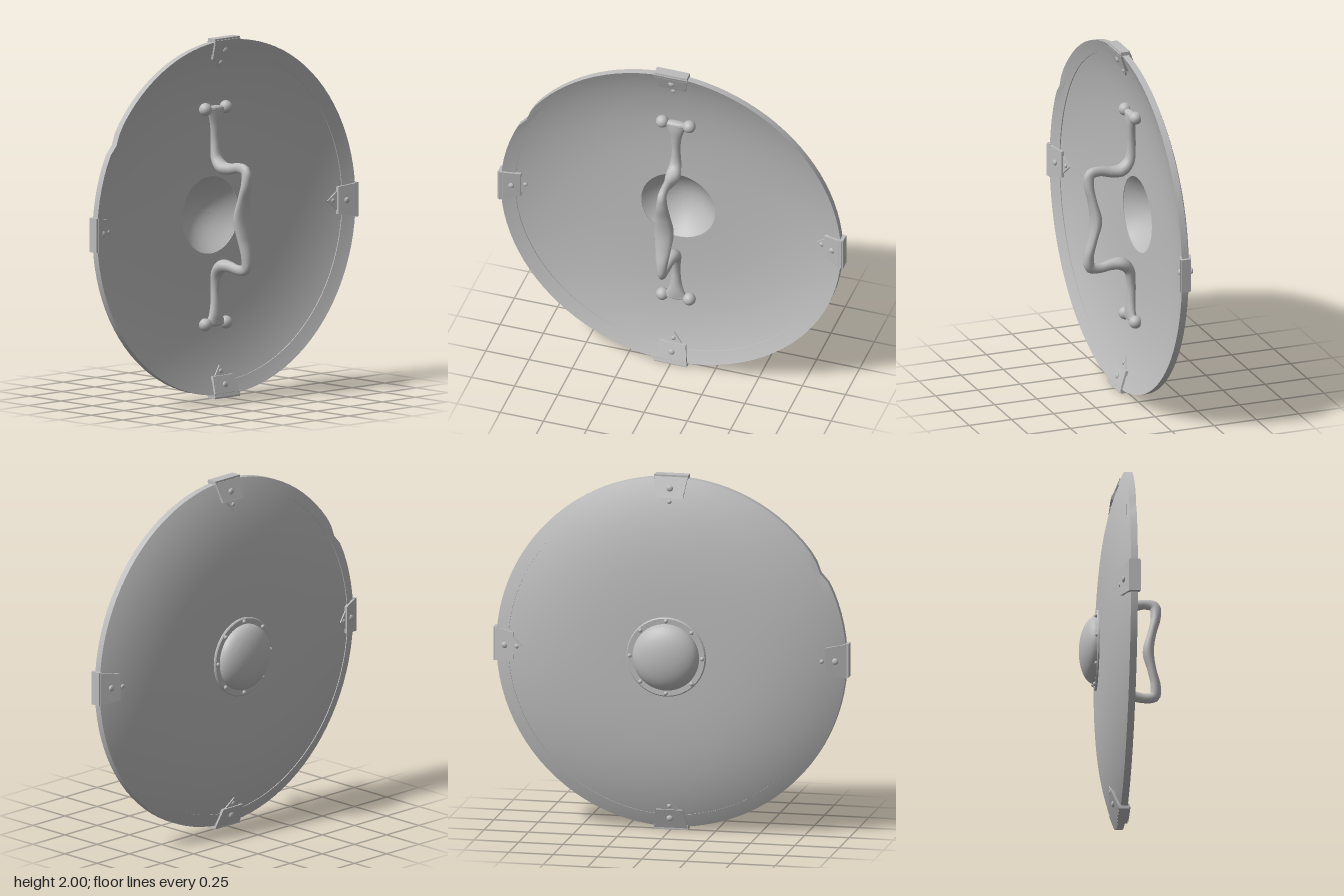
import * as THREE from 'three';
import { mergeVertices, toCreasedNormals } from 'three/addons/utils/BufferGeometryUtils.js';

const EDGE = 0.985;
const bow = r => Math.pow(r / EDGE, 3.5);
const outerX = r => -0.13 + 0.13 * bow(r);   // convex face
const innerX = r => -0.095 + 0.123 * bow(r); // hollow face

// Turn a closed [radius, x] profile around the shield axis (the x axis)
function turned(profile, segments = 96) {
  const g = new THREE.LatheGeometry(profile.map(([r, x]) => new THREE.Vector2(r, x)), segments);
  g.rotateZ(-Math.PI / 2);
  return g;
}

// Band of the dish between two radii, thickened by pad on both faces
function dish(r0, r1, pad, steps) {
  const outside = [], inside = [];
  for (let i = 0; i <= steps; i++) {
    const r = r0 + (r1 - r0) * i / steps;
    outside.push([r, outerX(r) - pad]);
    inside.unshift([r, innerX(r) + pad]);
  }
  const g = turned([...outside, ...inside, outside[0]]);
  // Small battle nick in the edge
  const p = g.attributes.position;
  for (let i = 0; i < p.count; i++) {
    const y = p.getY(i), z = p.getZ(i), r = Math.hypot(y, z);
    if (r < 0.95) continue;
    const d = (Math.atan2(y, z) - 0.53) / 0.05;
    const k = 1 - 0.018 * Math.exp(-d * d);
    p.setY(i, y * k);
    p.setZ(i, z * k);
  }
  return toCreasedNormals(g, 0.6);
}

// Bent tube whose width and thickness vary along its length
function boneGeometry() {
  // x, height above centre, half width in z, half thickness
  const half = [
    [-0.055, 0.6, 0.075, 0.026], [-0.052, 0.56, 0.05, 0.026], [-0.055, 0.5, 0.032, 0.025],
    [-0.058, 0.41, 0.024, 0.025], [-0.045, 0.32, 0.034, 0.03], [0.0, 0.275, 0.042, 0.036],
    [0.06, 0.272, 0.03, 0.031], [0.13, 0.284, 0.022, 0.028], [0.185, 0.272, 0.024, 0.031],
    [0.193, 0.21, 0.032, 0.028], [0.172, 0.11, 0.045, 0.024]
  ];
  const rows = [...half, [0.152, 0, 0.056, 0.031],
    ...half.slice().reverse().map(([x, y, w, t]) => [x, -y, w, t])];
  const path = new THREE.CatmullRomCurve3(rows.map(([x, y]) => new THREE.Vector3(x, y, 0)));
  const size = new THREE.CatmullRomCurve3(
    rows.map(([, , w, t]) => new THREE.Vector3(w, t, 0)), false, 'catmullrom');
  const N = 110, M = 14;
  let g = new THREE.TubeGeometry(path, N, 1, M);
  const p = g.attributes.position;
  for (let i = 0; i <= N; i++) {
    const c = path.getPointAt(i / N), s = size.getPoint(path.getUtoTmapping(i / N));
    for (let j = 0; j <= M; j++) {
      const k = i * (M + 1) + j;
      p.setXYZ(k, c.x + (p.getX(k) - c.x) * s.y, c.y + (p.getY(k) - c.y) * s.y, p.getZ(k) * s.x);
    }
  }
  g.deleteAttribute('uv');
  g.deleteAttribute('normal');
  g = mergeVertices(g, 1e-5);
  g.computeVertexNormals();
  return g;
}

// Flat plate drawn as [sideways, radius], laid on one face of the dish
function plate(points, thick, front) {
  const shape = new THREE.Shape(points.map(q => new THREE.Vector2(...q)));
  const g = new THREE.ExtrudeGeometry(shape, { depth: thick, bevelEnabled: false });
  g.rotateY(Math.PI / 2);
  const p = g.attributes.position;
  for (let i = 0; i < p.count; i++) {
    const r = p.getY(i);
    p.setX(i, p.getX(i) + (front ? innerX(r) : outerX(r) - thick));
  }
  g.computeVertexNormals();
  return g;
}

export function createModel() {
  const model = new THREE.Group();
  const grey = new THREE.MeshStandardMaterial({ color: 0xbcbcbc });
  grey.name = 'plain grey';
  const add = (name, geometry, parent, x = 0, y = 0, z = 0) => {
    const m = new THREE.Mesh(geometry, grey);
    m.name = name;
    m.position.set(x, y, z);
    parent.add(m);
    return m;
  };

  const shield = new THREE.Group();
  shield.name = 'shield';
  shield.position.y = 1;
  model.add(shield);

  // Dished board with a central hole, and its raised rim
  add('board', dish(0.214, EDGE - 0.01, 0, 24), shield);
  add('rim', dish(0.912, EDGE, 0.005, 6), shield);

  // Hollow domed boss with a flange
  const dome = [], bowl = [];
  for (let i = 0; i <= 16; i++) {
    const a = i / 16 * Math.PI / 2;
    dome.push([0.187 * Math.sin(a), -0.14 - 0.09 * Math.cos(a)]);
    const r = 0.214 * (1 - i / 16);
    bowl.push([r, -0.098 - 0.117 * (1 - (r / 0.214) ** 2)]);
  }
  add('boss', toCreasedNormals(turned(
    [...dome, [0.217, -0.142], [0.223, -0.136], [0.223, -0.122], [0.216, -0.096], ...bowl], 64), 0.6), shield);
  const stud = new THREE.SphereGeometry(0.012, 12, 8);
  for (let i = 0; i < 8; i++) {
    const a = i * Math.PI / 4;
    add('bossRivet', stud, shield, -0.142, 0.204 * Math.cos(a), 0.204 * Math.sin(a));
  }

  // Bone handle with knuckled ends
  const handle = new THREE.Group();
  handle.name = 'handle';
  shield.add(handle);
  add('boneGrip', boneGeometry(), handle);
  const knuckle = new THREE.SphereGeometry(0.036, 20, 14);
  for (const s of [1, -1]) {
    add('boneEnd', knuckle, handle, -0.055, s * 0.593, 0).scale.set(0.75, 0.6, 2.1);
    for (const side of [1, -1]) {
      add('boneKnuckle', knuckle, handle, -0.052, s * 0.598, side * 0.078);
    }
  }

  // Four riveted clamps gripping the rim
  const body = [[-0.094, 0.99], [-0.076, 0.88], [0.076, 0.88], [0.094, 0.99]];
  const tip = [[-0.055, 0.885], [0, 0.825], [0.055, 0.885]];
  const rivet = new THREE.SphereGeometry(0.018, 14, 10);
  const smallRivet = new THREE.SphereGeometry(0.013, 14, 10);
  const parts = [true, false].map(front => [plate(body, 0.018, front), plate(tip, 0.008, front)]);
  const bar = new THREE.BoxGeometry(0.056, 0.028, 0.19);
  for (let i = 0; i < 4; i++) {
    const clamp = new THREE.Group();
    clamp.name = 'rimClamp';
    clamp.rotation.x = i * Math.PI / 2;
    shield.add(clamp);
    add('clampBar', bar, clamp, 0.014, 0.986, 0);
    parts.forEach(([main, point], k) => {
      const at = (r, t) => k === 0 ? innerX(r) + t : outerX(r) - t;
      add('clampPlate', main, clamp);
      add('clampTip', point, clamp);
      add('clampRivet', rivet, clamp, at(0.93, 0.018), 0.93, 0).scale.x = 0.6;
      add('clampTipRivet', smallRivet, clamp, at(0.858, 0.008), 0.858, 0).scale.x = 0.6;
    });
  }
  return model;
}
